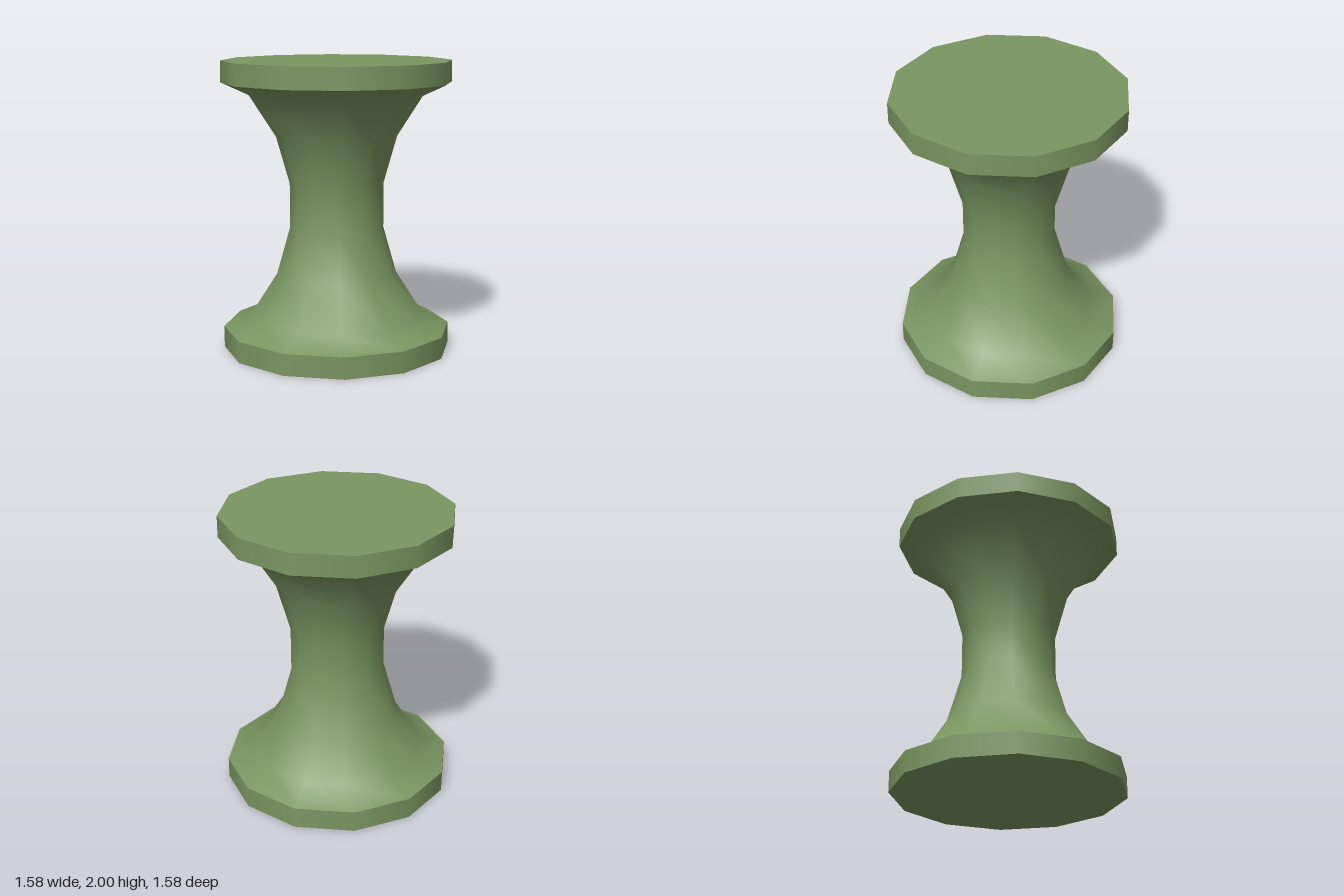
import * as THREE from 'three';

const SIDES = 12;
const RADIUS = 0.79;
const HEIGHT = 2;
const RIM = 0.148;

export function createModel() {
  const model = new THREE.Group();
  model.name = 'spool';
  const green = new THREE.MeshStandardMaterial({ color: 0x7a9661 });
  green.name = 'mossGreen';

  const add = (name, geometry, y = 0, tilt = 0) => {
    const mesh = new THREE.Mesh(geometry, green);
    mesh.name = name;
    mesh.position.y = y;
    mesh.rotation.x = tilt;
    model.add(mesh);
  };

  // Flared waist, mirrored about mid height
  const lower = [[RADIUS, RIM], [0.6, 0.235], [0.417, 0.52], [0.325, 0.845]];
  const upper = lower.map(([r, y]) => [r, HEIGHT - y]).reverse();
  const profile = [...lower, ...upper].map(([r, y]) => new THREE.Vector2(r, y));
  add('waist', new THREE.LatheGeometry(profile, SIDES));

  // Straight rims, open where they meet the waist
  const rim = new THREE.CylinderGeometry(RADIUS, RADIUS, RIM, SIDES, 1, true);
  add('bottomRim', rim, RIM / 2);
  add('topRim', rim, HEIGHT - RIM / 2);

  // Flat end faces
  const disc = new THREE.CircleGeometry(RADIUS, SIDES);
  add('bottomFace', disc, 0, Math.PI / 2);
  add('topFace', disc, HEIGHT, -Math.PI / 2);

  return model;
}
